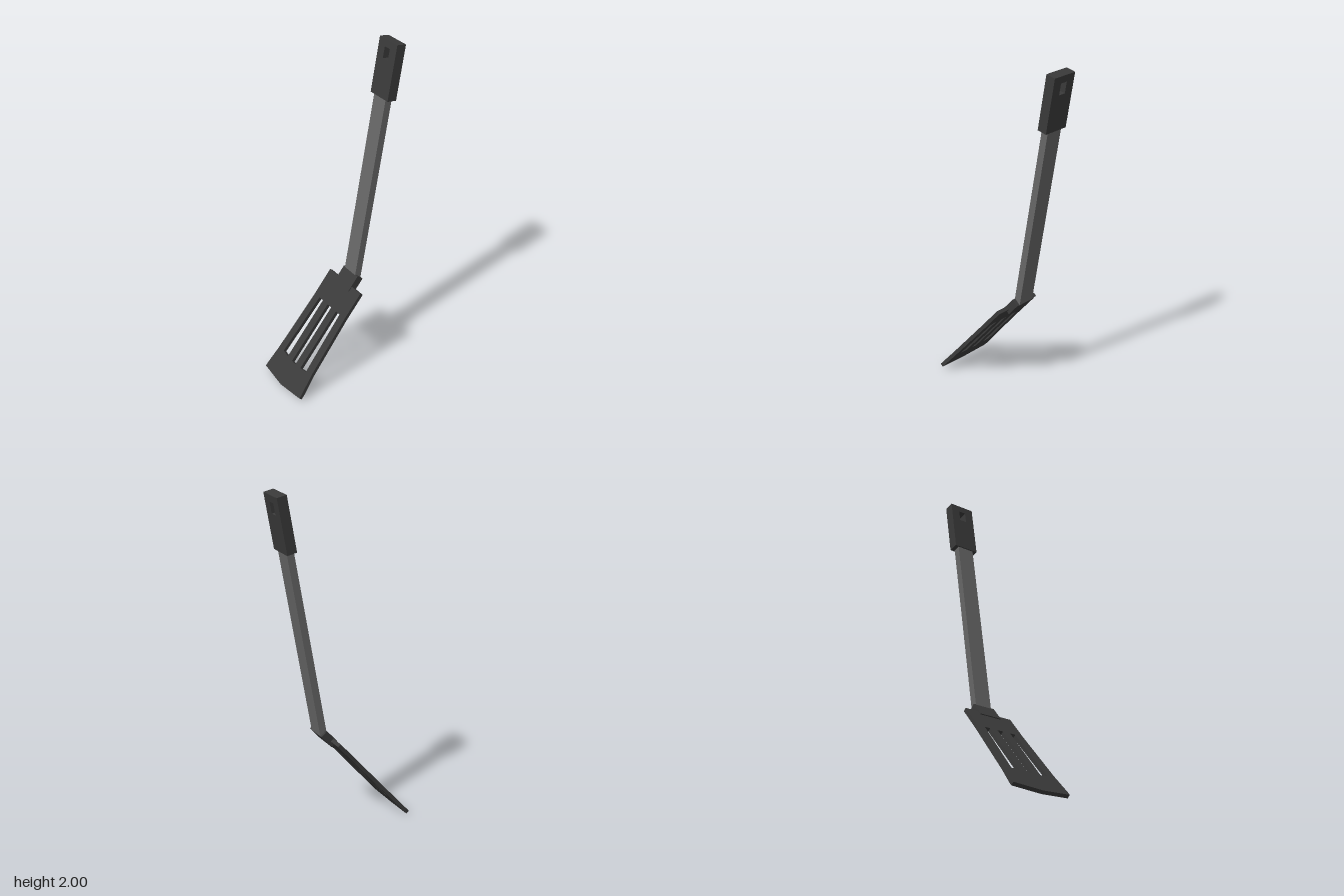
import * as THREE from 'three';

const BLADE_TILT = THREE.MathUtils.degToRad(40);
const HANDLE_TILT = THREE.MathUtils.degToRad(10);

const polygon = (points, Type = THREE.Shape) =>
  new Type(points.map(([x, y]) => new THREE.Vector2(x, y)));

// Flat plate of the given thickness, centred on its local z = 0 plane
function plate(outline, holes, thickness) {
  const shape = polygon(outline);
  shape.holes = holes.map((h) => polygon(h, THREE.Path));
  const geometry = new THREE.ExtrudeGeometry(shape, { depth: thickness, bevelEnabled: false });
  return geometry.translate(0, 0, -thickness / 2);
}

export function createModel() {
  const model = new THREE.Group();
  const black = new THREE.MeshStandardMaterial({ color: 0x3a3a3a });
  black.name = 'black plastic';
  const grey = new THREE.MeshStandardMaterial({ color: 0x666666 });
  grey.name = 'grey metal';

  // Place a part leaning back by the given tilt
  function add(name, geometry, material, tilt, x, y, z) {
    const mesh = new THREE.Mesh(geometry, material);
    mesh.name = name;
    mesh.rotation.x = -tilt;
    mesh.position.set(x, y, z);
    model.add(mesh);
  }

  // Slotted blade: origin at the middle of its top edge, flaring to a shallow point
  const blade = [
    [-0.153, 0], [-0.153, -0.171], [-0.168, -0.555], [-0.179, -0.676], [-0.179, -0.699],
    [0, -0.717],
    [0.179, -0.699], [0.179, -0.676], [0.163, -0.54], [0.147, -0.171], [0.147, 0],
  ];
  const slots = [
    [[-0.105, -0.171], [-0.121, -0.556], [-0.07, -0.563], [-0.07, -0.171]],
    [[-0.022, -0.171], [-0.022, -0.566], [-0.004, -0.568], [0.014, -0.566], [0.014, -0.171]],
    [[0.062, -0.171], [0.062, -0.563], [0.113, -0.556], [0.097, -0.171]],
  ];
  add('blade', plate(blade, slots, 0.022), black, BLADE_TILT, 0, 0.557, -0.0735);

  // Collar joining blade and shaft
  add('collar', new THREE.BoxGeometry(0.135, 0.1, 0.046), black, BLADE_TILT, -0.0035, 0.567, -0.0905);

  // Flat bar shaft
  add('shaft', new THREE.BoxGeometry(0.101, 1.14, 0.042), grey, HANDLE_TILT, -0.0075, 1.155, -0.219);

  // Grip with a hanging hole
  const grip = [[-0.075, -0.1585], [0.075, -0.1585], [0.075, 0.1585], [-0.075, 0.1585]];
  const hole = [[-0.022, 0.052], [-0.022, 0.118], [0.021, 0.118], [0.021, 0.052]];
  add('grip', plate(grip, [hole], 0.058), black, HANDLE_TILT, -0.007, 1.839, -0.341);

  return model;
}
